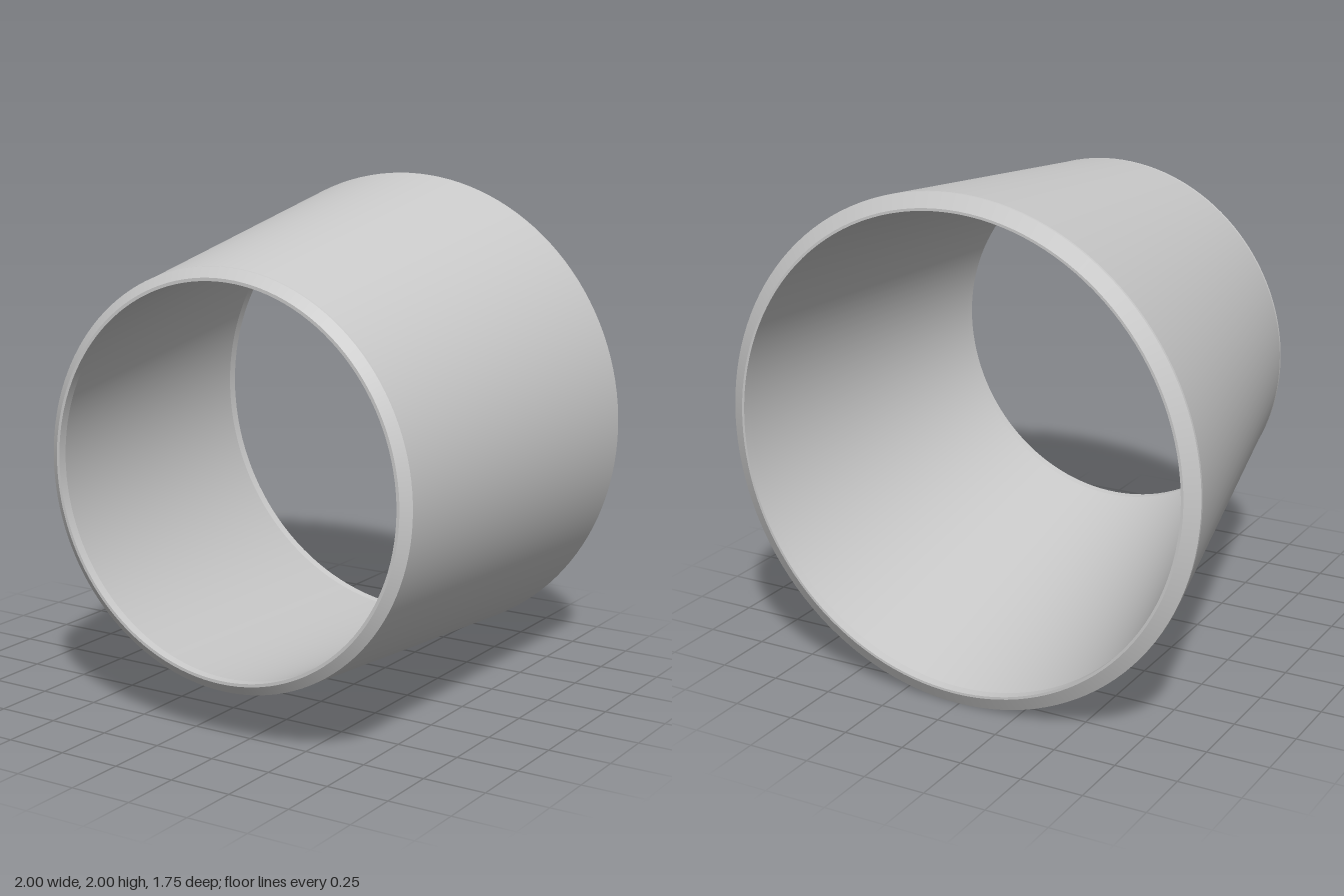
import * as THREE from 'three';

const SEGMENTS = 128;

// Smooth band between two circles, each given as [centre x, z, radius]
function band(a, b) {
  const geometry = new THREE.CylinderGeometry(1, 1, 1, SEGMENTS, 1, true);
  const pos = geometry.attributes.position;
  const normal = geometry.attributes.normal;
  const n = new THREE.Vector3();
  const dx = b[0] - a[0], dz = b[1] - a[1], dr = b[2] - a[2];
  for (let i = 0; i < pos.count; i++) {
    const c = pos.getX(i), s = -pos.getZ(i);
    const [x, z, r] = pos.getY(i) > 0 ? b : a;
    pos.setXYZ(i, x + r * c, 1 + r * s, z);
    // Perpendicular to the rim tangent and to the line joining the circles
    n.set(c * dz, s * dz, -(dx * c + dr)).normalize();
    normal.setXYZ(i, n.x, n.y, n.z);
  }
  return geometry;
}

export function createModel() {
  const group = new THREE.Group();
  group.name = 'eccentricReducer';
  const material = new THREE.MeshStandardMaterial({ color: 0xcccccc, side: THREE.DoubleSide });

  // Closed wall section: outside from back to front, then inside to the back
  const X = 0.205;
  const sections = [
    ['backBevel', 0, -0.875, 0.945],
    ['backCollar', 0, -0.845, 1],
    ['outerWall', 0, -0.835, 1],
    ['frontCollar', X, 0.838, 0.795],
    ['frontBevel', X, 0.848, 0.795],
    ['frontLip', X, 0.875, 0.757],
    ['frontBore', X, 0.875, 0.745],
    ['innerWall', X, 0.838, 0.745],
    ['backBore', 0, -0.835, 0.935],
    ['backLip', 0, -0.875, 0.935],
  ];
  sections.forEach(([name, ...start], i) => {
    const end = sections[(i + 1) % sections.length].slice(1);
    const mesh = new THREE.Mesh(band(start, end), material);
    mesh.name = name;
    group.add(mesh);
  });
  return group;
}
